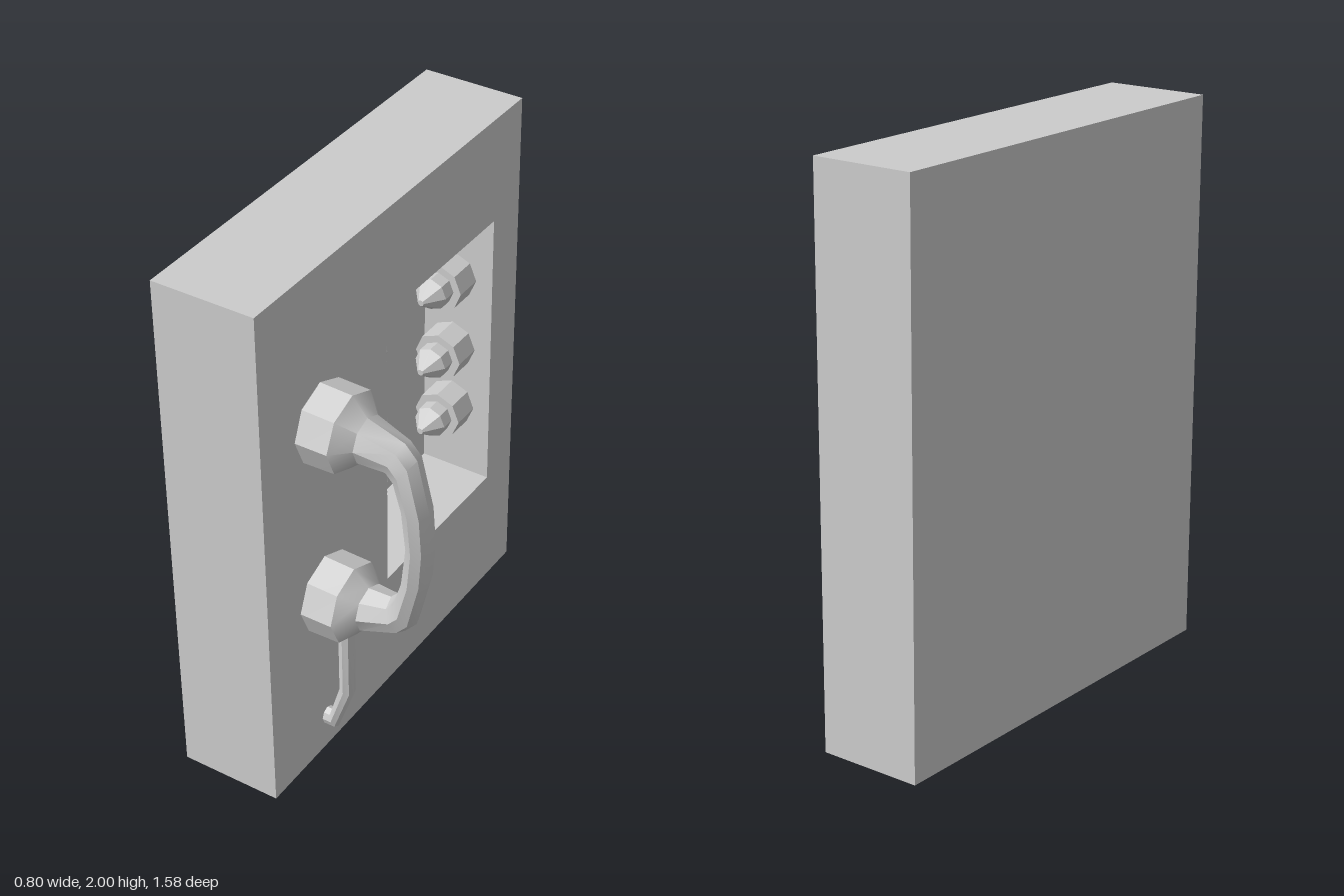
import * as THREE from 'three';
import { toCreasedNormals } from 'three/addons/utils/BufferGeometryUtils.js';

const FRONT = -0.022, BACK = -0.404, HEIGHT = 2, HALF = 0.79; // cabinet
const RECESS = { back: -0.3, y0: 0.48, y1: 1.6, z0: -0.62, z1: 0.07 };
const HANDSET_Z = 0.465;

// Box without its +x side; inward turns the faces to the inside
function openBox(x0, x1, y0, y1, z0, z1, inward) {
  const geo = new THREE.BoxGeometry(x1 - x0, y1 - y0, z1 - z0);
  geo.translate((x0 + x1) / 2, (y0 + y1) / 2, (z0 + z1) / 2);
  const index = Array.from(geo.index.array).slice(6);
  geo.setIndex(inward ? index.reverse() : index);
  geo.clearGroups();
  const flat = geo.toNonIndexed();
  flat.computeVertexNormals();
  return flat;
}

// Eight-sided sweep; each section is [outerX, outerY, innerX, innerY, halfWidthZ]
function loft(sections, sides = 8) {
  const pos = [], idx = [];
  for (const [ox, oy, ix, iy, w] of sections) {
    for (let j = 0; j < sides; j++) {
      const a = (j / sides) * Math.PI * 2, c = Math.cos(a) / 2;
      pos.push((ox + ix) / 2 + (ox - ix) * c, (oy + iy) / 2 + (oy - iy) * c, HANDSET_Z + w * Math.sin(a));
    }
  }
  for (let i = 0; i < sections.length - 1; i++) {
    for (let j = 0; j < sides; j++) {
      const k = (j + 1) % sides, p = i * sides, q = p + sides;
      idx.push(p + j, p + k, q + j, p + k, q + k, q + j);
    }
  }
  const last = (sections.length - 1) * sides;
  for (let j = 1; j < sides - 1; j++) {
    idx.push(0, j + 1, j, last, last + j, last + j + 1); // end caps
  }
  const geo = new THREE.BufferGeometry();
  geo.setAttribute('position', new THREE.Float32BufferAttribute(pos, 3));
  geo.setIndex(idx);
  return toCreasedNormals(geo, 0.6);
}

export function createModel() {
  const model = new THREE.Group();
  const grey = new THREE.MeshStandardMaterial({ color: 0xcccccc });
  grey.name = 'grey';
  const add = (name, geo, parent = model) => {
    const mesh = new THREE.Mesh(geo, grey);
    mesh.name = name;
    parent.add(mesh);
    return mesh;
  };

  // Cabinet: outer shell, front panel with an opening, recess lining
  const cabinet = new THREE.Group();
  cabinet.name = 'cabinet';
  model.add(cabinet);
  add('shell', openBox(BACK, FRONT, 0, HEIGHT, -HALF, HALF, false), cabinet);
  const rect = (Type, x0, x1, y0, y1) => new Type([
    new THREE.Vector2(x0, y0), new THREE.Vector2(x1, y0),
    new THREE.Vector2(x1, y1), new THREE.Vector2(x0, y1),
  ]);
  const panel = rect(THREE.Shape, -HALF, HALF, 0, HEIGHT);
  panel.holes.push(rect(THREE.Path, -RECESS.z1, -RECESS.z0, RECESS.y0, RECESS.y1));
  add('frontPanel', new THREE.ShapeGeometry(panel).rotateY(Math.PI / 2).translate(FRONT, 0, 0), cabinet);
  add('recess', openBox(RECESS.back, FRONT, RECESS.y0, RECESS.y1, RECESS.z0, RECESS.z1, true), cabinet);

  // Pegs on both side walls of the recess, pointing inwards
  const profile = [[0.092, 0], [0.092, 0.105], [0.062, 0.105], [0.062, 0.155], [0.012, 0.223], [0, 0.223]]
    .map(([r, y]) => new THREE.Vector2(r, y));
  const pegGeo = new THREE.LatheGeometry(profile, 8).toNonIndexed();
  pegGeo.computeVertexNormals();
  for (const y of [1.33, 1.033, 0.773]) {
    for (const side of [-1, 1]) {
      const peg = add('peg', pegGeo);
      peg.position.set(-0.18, y, side < 0 ? RECESS.z0 : RECESS.z1);
      peg.rotation.x = -side * Math.PI / 2;
    }
  }

  // Handset: upper half mirrored about its middle
  const MID = 1.072;
  const upper = [
    [-0.017, 1.575, -0.017, 1.28, 0.148],
    [0.105, 1.57, 0.1, 1.285, 0.148],
    [0.16, 1.505, 0.157, 1.34, 0.085],
    [0.3, 1.46, 0.245, 1.337, 0.063],
    [0.345, 1.41, 0.27, 1.31, 0.063],
    [0.392, 1.21, 0.298, 1.222, 0.063],
  ];
  const lower = upper.map(([ox, oy, ix, iy, w]) => [ox, 2 * MID - oy, ix, 2 * MID - iy, w]).reverse();
  add('handset', loft([...upper, [0.4, MID, 0.316, MID, 0.063], ...lower]));

  // Cord from the mouthpiece back into the cabinet
  add('cord', loft([
    [0.093, 0.62, 0.038, 0.62, 0.031],
    [0.093, 0.297, 0.038, 0.31, 0.031],
    [0.024, 0.107, -0.002, 0.175, 0.031],
    [-0.03, 0.107, -0.03, 0.175, 0.031],
  ]));

  return model;
}
